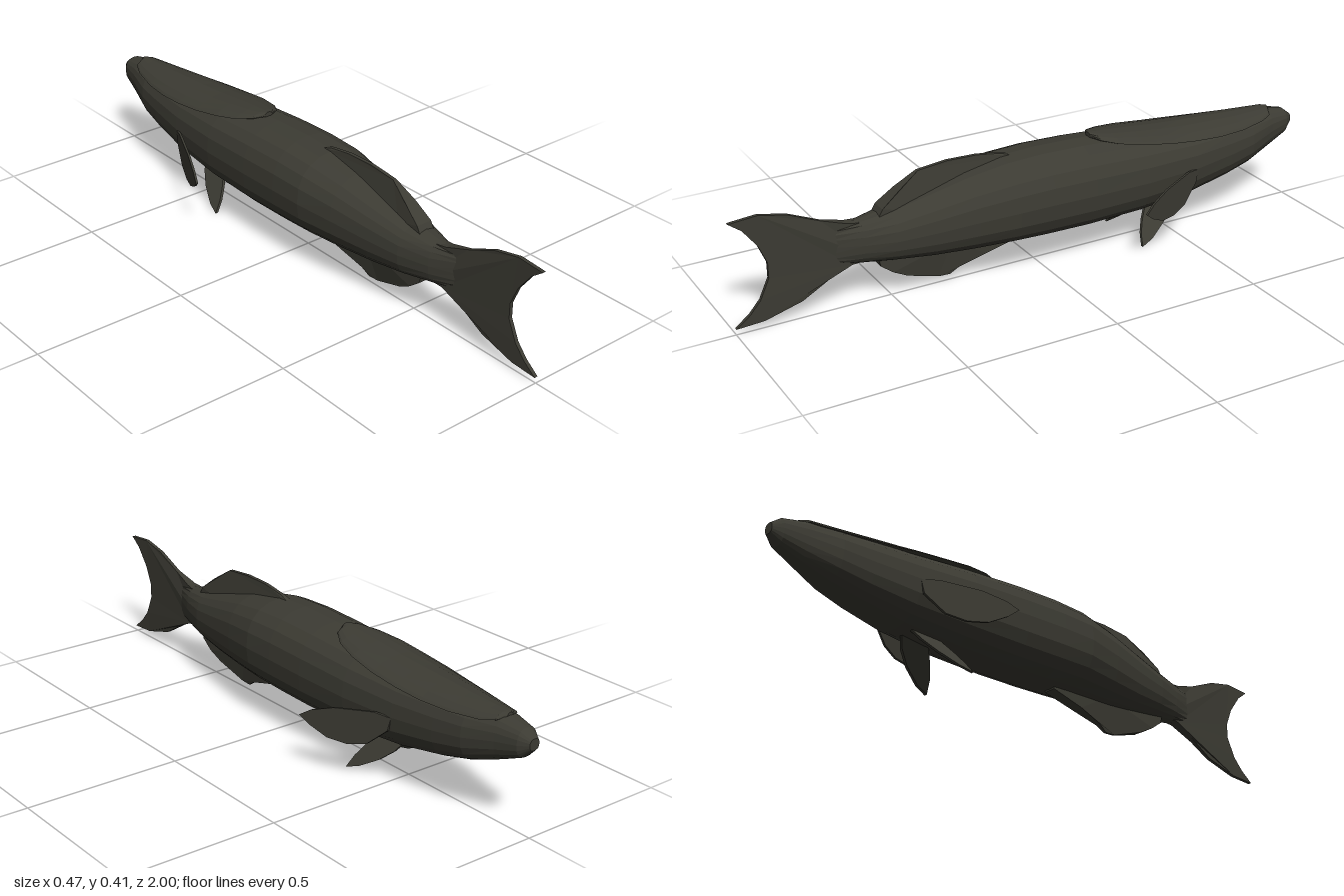
import * as THREE from 'three';

const skin = new THREE.MeshStandardMaterial({ color: 0x3c3b33, flatShading: true });
skin.name = 'dark slate skin';

// Closed skin over rings of [x, y, z] points, ordered from back (-z) to front (+z).
function loft(rings) {
  const n = rings[0].length, pos = [], idx = [];
  rings.forEach(r => r.forEach(p => pos.push(...p)));
  for (let i = 0; i < rings.length - 1; i++) {
    for (let j = 0; j < n; j++) {
      const a = i * n + j, b = i * n + (j + 1) % n, c = b + n, d = a + n;
      idx.push(a, b, d, b, c, d);
    }
  }
  const last = (rings.length - 1) * n;
  for (let j = 1; j < n - 1; j++) {
    idx.push(0, j + 1, j, last, last + j, last + j + 1);
  }
  const g = new THREE.BufferGeometry();
  g.setAttribute('position', new THREE.Float32BufferAttribute(pos, 3));
  g.setIndex(idx);
  g.computeVertexNormals();
  return g;
}

// Fin from a [z, y] outline; xAt gives its middle surface, thick its thickness.
function fin(outline, thick, xAt = () => 0) {
  const shape = new THREE.Shape(outline.map(p => new THREE.Vector2(...p)));
  const g = new THREE.ExtrudeGeometry(shape, { depth: 1, bevelEnabled: false });
  const p = g.attributes.position;
  for (let i = 0; i < p.count; i++) {
    const z = p.getX(i), y = p.getY(i), side = 0.5 - p.getZ(i);
    p.setXYZ(i, xAt(z, y) + side * thick(z, y), y, z);
  }
  g.computeVertexNormals();
  return g;
}

const power = (v, e) => Math.sign(v) * Math.pow(Math.abs(v), e);
const clamp = THREE.MathUtils.clamp;

export function createModel() {
  const model = new THREE.Group();
  const add = (name, geometry) => {
    const m = new THREE.Mesh(geometry, skin);
    m.name = name;
    model.add(m);
  };

  // Body stations: z, half width, bottom, top
  const body = [
    [-1, 0.018, 0.265, 0.30], [-0.97, 0.038, 0.235, 0.323], [-0.9, 0.055, 0.205, 0.337],
    [-0.8, 0.085, 0.168, 0.341], [-0.7, 0.1, 0.143, 0.345], [-0.55, 0.12, 0.117, 0.352],
    [-0.35, 0.138, 0.101, 0.368], [-0.15, 0.144, 0.097, 0.381], [0, 0.145, 0.1, 0.385],
    [0.12, 0.143, 0.105, 0.38], [0.25, 0.122, 0.108, 0.358], [0.38, 0.098, 0.115, 0.325],
    [0.5, 0.076, 0.128, 0.295], [0.6, 0.046, 0.14, 0.28], [0.7, 0.008, 0.152, 0.27],
  ];
  const sides = 20;
  add('body', loft(body.map(([z, w, lo, hi]) => Array.from({ length: sides }, (_, j) => {
    const a = (j / sides) * Math.PI * 2, e = 0.84;
    return [w * power(Math.cos(a), e), (lo + hi) / 2 + (hi - lo) / 2 * power(Math.sin(a), e), z];
  }))));

  // Raised plate along the back of the head: z, half width, top, edge height
  const plate = [
    [-0.905, 0.012, 0.344, 0.34], [-0.89, 0.042, 0.346, 0.334], [-0.85, 0.06, 0.347, 0.326],
    [-0.75, 0.085, 0.351, 0.322], [-0.65, 0.1, 0.357, 0.325], [-0.55, 0.108, 0.362, 0.334],
    [-0.45, 0.108, 0.369, 0.345], [-0.35, 0.1, 0.379, 0.36], [-0.27, 0.08, 0.386, 0.372],
    [-0.22, 0.05, 0.39, 0.383], [-0.2, 0.015, 0.391, 0.389],
  ];
  add('headPlate', loft(plate.map(([z, w, top, edge]) => Array.from({ length: 16 }, (_, j) => {
    const a = (j / 16) * Math.PI * 2, c = Math.cos(a);
    return [w * c, top - 0.007 - (top - edge) * c * c + 0.008 * Math.sin(a), z];
  }))));

  // Dorsal and anal fins, thick at the root and thin at the rim
  add('dorsalFin', fin([
    [0.06, 0.36], [0.07, 0.375], [0.12, 0.39], [0.2, 0.402], [0.3, 0.405], [0.4, 0.395],
    [0.47, 0.35], [0.53, 0.305], [0.55, 0.27], [0.45, 0.285], [0.32, 0.31], [0.2, 0.34],
  ], (z, y) => clamp((0.405 - y) * 0.7, 0.012, 0.055)));
  add('analFin', fin([
    [0.55, 0.155], [0.54, 0.115], [0.5, 0.085], [0.45, 0.058], [0.34, 0.022], [0.3, 0.02],
    [0.27, 0.04], [0.18, 0.068], [0.06, 0.098], [0.06, 0.12], [0.3, 0.14],
  ], (z, y) => clamp((y - 0.015) * 0.7, 0.008, 0.042)));

  // Forked tail
  add('tailFin', fin([
    [0.56, 0.27], [0.64, 0.28], [0.72, 0.305], [0.82, 0.348], [0.91, 0.367], [1, 0.36],
    [0.96, 0.33], [0.915, 0.27], [0.89, 0.21], [0.89, 0.16], [0.92, 0.095], [0.955, 0.055],
    [1, 0.02], [0.91, 0.025], [0.79, 0.058], [0.7, 0.11], [0.63, 0.142], [0.56, 0.15],
  ], z => clamp(0.05 - (z - 0.55) * 0.22, 0.012, 0.05)));

  // Paired side and belly fins
  for (const [side, s] of [['left', 1], ['right', -1]]) {
    add(side + 'PectoralFin', fin([
      [-0.55, 0.232], [-0.5, 0.24], [-0.38, 0.226], [-0.31, 0.203], [-0.275, 0.18],
      [-0.305, 0.155], [-0.36, 0.126], [-0.42, 0.12], [-0.48, 0.135], [-0.54, 0.19],
    ], () => 0.008, z => s * (0.115 + (z + 0.55) * 0.43)));
    add(side + 'PelvicFin', fin([
      [-0.345, 0], [-0.355, 0.035], [-0.375, 0.07], [-0.41, 0.115],
      [-0.51, 0.118], [-0.49, 0.085], [-0.45, 0.05], [-0.39, 0.015],
    ], () => 0.01, (z, y) => s * (0.03 + (0.108 - y) * 0.74)));
  }
  return model;
}
